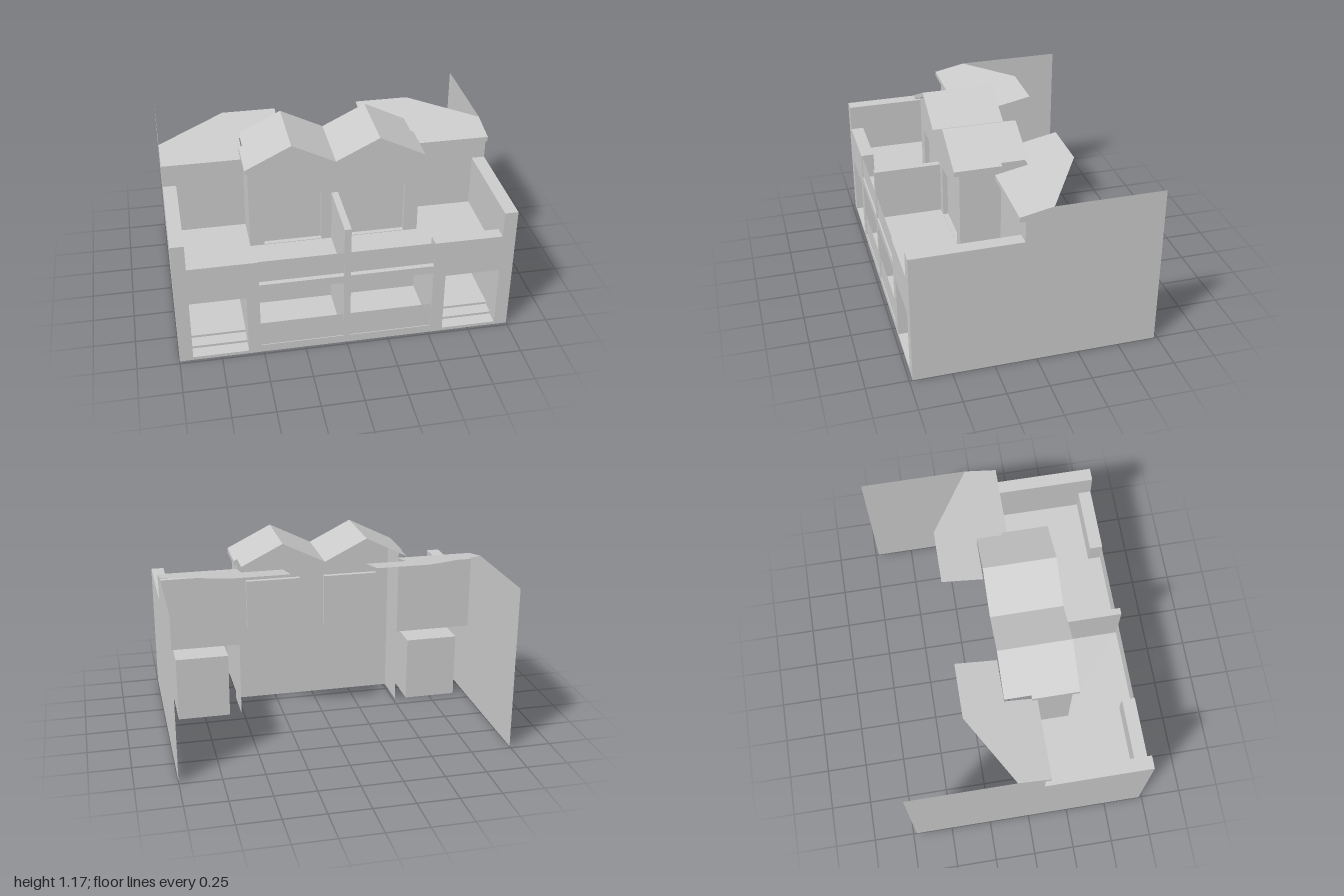
import * as THREE from 'three';

const material = new THREE.MeshStandardMaterial({ color: 0xcccccc, side: THREE.DoubleSide, flatShading: true });
const glass = new THREE.MeshStandardMaterial({ color: 0xeeeeee, side: THREE.DoubleSide });

const rect = (x0, x1, y0, y1) => [[x0, y0], [x1, y0], [x1, y1], [x0, y1]];
const toPoints = (list) => list.map(([u, v]) => new THREE.Vector2(u, v));

// Slope lines of the roofs
const gableY = (x) => 1.17 - 0.5 * Math.abs(x - 0.26);
const sideRoofY = (z) => 0.97 + 0.2 * (0.115 - z);

export function createModel() {
  const half = new THREE.Group();

  const add = (name, geometry, mat = material) => {
    const mesh = new THREE.Mesh(geometry, mat);
    mesh.name = name;
    half.add(mesh);
  };

  // Thin sheet: a flat outline (with holes) whose points are placed in space by a rule
  const sheet = (name, outline, place, holes = [], mat = material) => {
    const shape = new THREE.Shape(toPoints(outline));
    holes.forEach((h) => shape.holes.push(new THREE.Path(toPoints(h))));
    const geometry = new THREE.ShapeGeometry(shape);
    const p = geometry.attributes.position;
    for (let i = 0; i < p.count; i++) p.setXYZ(i, ...place(p.getX(i), p.getY(i)));
    geometry.computeVertexNormals();
    add(name, geometry, mat);
  };
  const atZ = (z) => (u, v) => [u, v, z];
  const atX = (x) => (u, v) => [x, v, -u];
  const atY = (y) => (u, v) => [u, y, -v];

  const box = (name, x0, x1, y0, y1, z0, z1, openFaces = []) => {
    const geometry = new THREE.BoxGeometry(x1 - x0, y1 - y0, z1 - z0);
    geometry.translate((x0 + x1) / 2, (y0 + y1) / 2, (z0 + z1) / 2);
    // Faces are ordered +x, -x, +y, -y, +z, -z with six indices each
    const index = Array.from(geometry.index.array);
    geometry.setIndex(index.filter((_, i) => !openFaces.includes(Math.floor(i / 6))));
    add(name, geometry);
  };

  // Street facade with entrance and veranda openings
  sheet('facade', [
    [0, 0], [1, 0], [1, 0.81], [0.92, 0.81], [0.92, 0.65], [0.515, 0.65],
    [0.515, 0.49], [0.02, 0.49], [0.02, 0.81], [0, 0.81],
  ], atZ(0.73), [rect(0.59, 0.92, 0.02, 0.41), rect(0.02, 0.515, 0.05, 0.44)]);

  // Boundary wall, thick beside the balcony
  sheet('boundaryWall', [
    [-0.73, 0], [0.73, 0], [0.73, 1.01], [0.08, 1.01], [-0.115, 0.97],
    [-0.115, 0.94], [-0.08, 0.94], [-0.08, 0.81], [-0.73, 0.81],
  ], atX(1));
  box('balconySideWall', 0.92, 1, 0.49, 0.81, 0.08, 0.73, [0, 3, 4, 5]);

  // Recessed rooms behind the facade openings
  box('entranceBay', 0.59, 0.92, 0, 0.41, 0.08, 0.73, [3, 4]);
  box('veranda', 0.02, 0.515, 0.05, 0.44, 0.325, 0.73, [4]);
  sheet('verandaPanel', rect(0.02, 0.515, 0.05, 0.21), atZ(0.725));

  // Entrance steps
  [[0.02, 0.73, 0.65], [0.035, 0.65, 0.57], [0.05, 0.57, 0.08]].forEach(([y, front, back], i) => {
    sheet('stepTread', rect(0.59, 0.92, -front, -back), atY(y));
    if (i > 0) sheet('stepRiser', rect(0.59, 0.92, y - 0.015, y), atZ(front));
  });

  // Balcony floor, parapet, railing and dividing wall
  sheet('balconyFloor', [[0, -0.73], [1, -0.73], [1, -0.08], [0.515, -0.08], [0.515, -0.325], [0, -0.325]], atY(0.487));
  box('parapet', 0.515, 0.92, 0.49, 0.65, 0.65, 0.73, [3, 4]);
  sheet('balconyRailing', rect(0.02, 0.515, 0.51, 0.65), atZ(0.725), [], glass);
  box('balconyDivider', 0, 0.02, 0.49, 0.81, 0.325, 0.73, [1, 3, 4, 5]);

  // Central gabled wall with its recessed window and return wall
  sheet('gableWall', [[0, 0], [0.515, 0], [0.515, 1.035], [0.26, 1.165], [0, 1.035]],
    atZ(0.325), [rect(0.08, 0.43, 0.49, 0.82)]);
  box('windowRecess', 0.08, 0.43, 0.49, 0.82, 0.295, 0.325, [4]);
  sheet('returnWall', rect(-0.325, -0.08, 0, 1.04), atX(0.515));
  sheet('upperSideWall', rect(0.515, 1, 0.48, 0.94), atZ(0.08));

  // Gable roof with fascia and eave
  const onGable = (u, v) => [u, gableY(u), -v];
  sheet('innerRoofSlope', rect(0, 0.26, -0.36, 0.08), onGable);
  sheet('outerRoofSlope', rect(0.26, 0.515, -0.36, 0.08), onGable);
  const slab = (name, xs, z0, z1) => {
    const top = xs.map((x) => [x, gableY(x)]);
    const bottom = xs.map((x) => [x, gableY(x) - 0.03]).reverse();
    const shape = new THREE.Shape(toPoints([...bottom, ...top]));
    add(name, new THREE.ExtrudeGeometry(shape, { depth: z1 - z0, bevelEnabled: false }).translate(0, 0, z0));
  };
  slab('gableFascia', [0, 0.26, 0.535], 0.325, 0.36);
  slab('gableEave', [0.515, 0.535], 0.08, 0.325);

  // Side roof with its fascia and soffit
  sheet('sideRoof', [
    [0.515, -0.115], [1, -0.115], [1, 0.08], [0.59, 0.33], [0.26, 0.33], [0.26, 0.08], [0.515, 0.08],
  ], (u, v) => [u, sideRoofY(-v), -v]);
  sheet('sideFascia', rect(0.515, 1, 0.94, 0.97), atZ(0.115));
  sheet('sideSoffit', rect(0.515, 1, -0.115, -0.08), atY(0.94));

  // Mirror the half for the adjoining house
  half.name = 'leftHouse';
  const other = half.clone();
  other.name = 'rightHouse';
  other.scale.x = -1;

  const model = new THREE.Group();
  model.name = 'semiDetachedHouses';
  model.add(half, other);
  return model;
}
